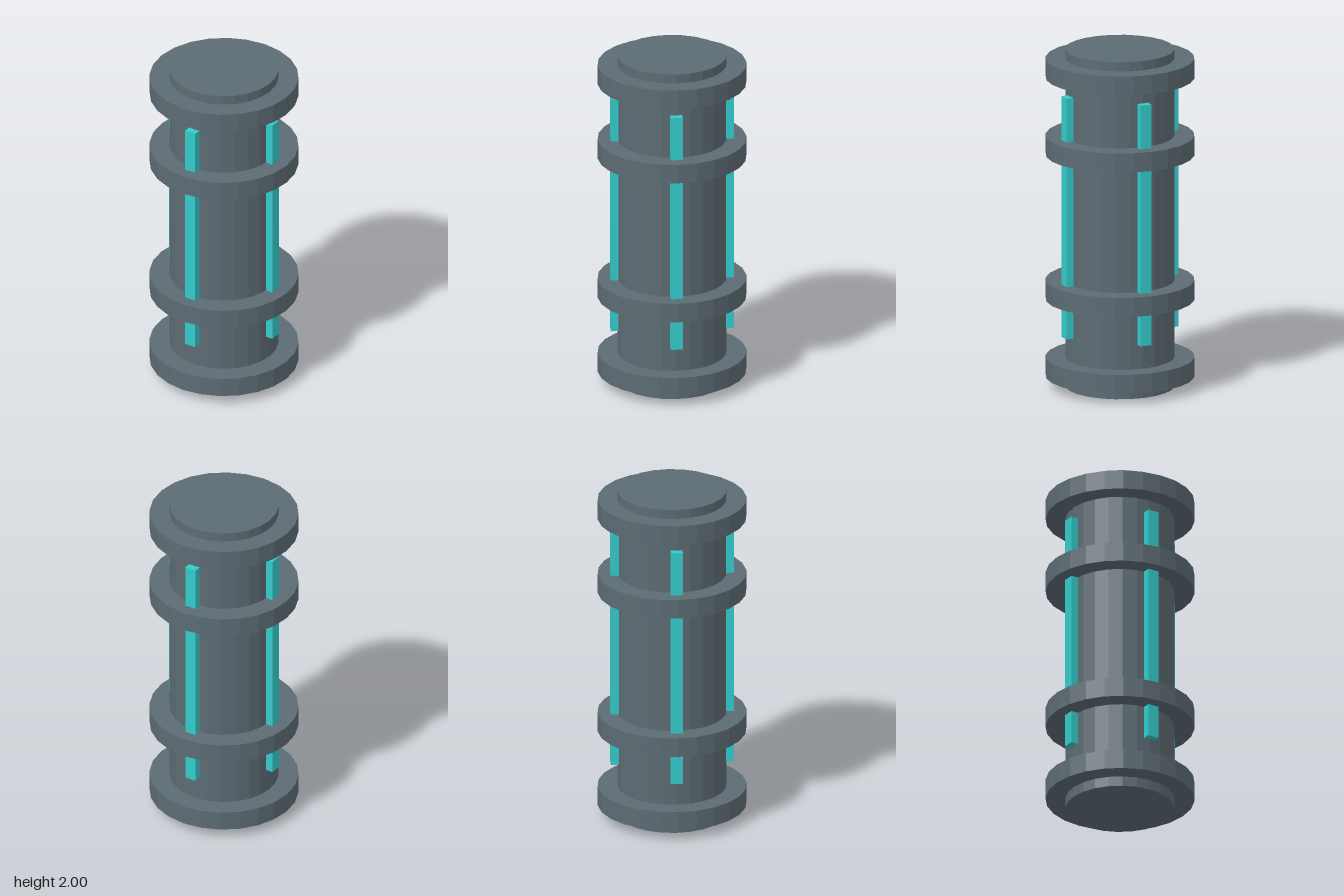
import * as THREE from 'three';

export function createModel() {
  const model = new THREE.Group();
  const metal = new THREE.MeshStandardMaterial({ color: 0x5c6b73, flatShading: true });
  metal.name = 'grey metal';
  const glow = new THREE.MeshStandardMaterial({ color: 0x33cccc });
  glow.name = 'cyan light';

  const add = (name, geometry, material, x, y, z) => {
    const mesh = new THREE.Mesh(geometry, material);
    mesh.name = name;
    mesh.position.set(x, y, z);
    model.add(mesh);
  };

  // Central column
  add('column', new THREE.CylinderGeometry(0.314, 0.314, 2, 24), metal, 0, 1, 0);

  // Four collars, mirrored about mid height
  const collar = new THREE.CylinderGeometry(0.4286, 0.4286, 0.1143, 24);
  [0.117, 0.574, 1.431, 1.888].forEach((y, i) => add(`collar${i + 1}`, collar, metal, 0, y, 0));

  // Light strips on the four sides
  const strip = new THREE.BoxGeometry(0.0686, 1.4286, 0.0686);
  for (let i = 0; i < 4; i++) {
    const a = (i * Math.PI) / 2;
    add(`lightStrip${i + 1}`, strip, glow, 0.32 * Math.sin(a), 1.034, 0.32 * Math.cos(a));
  }
  return model;
}
